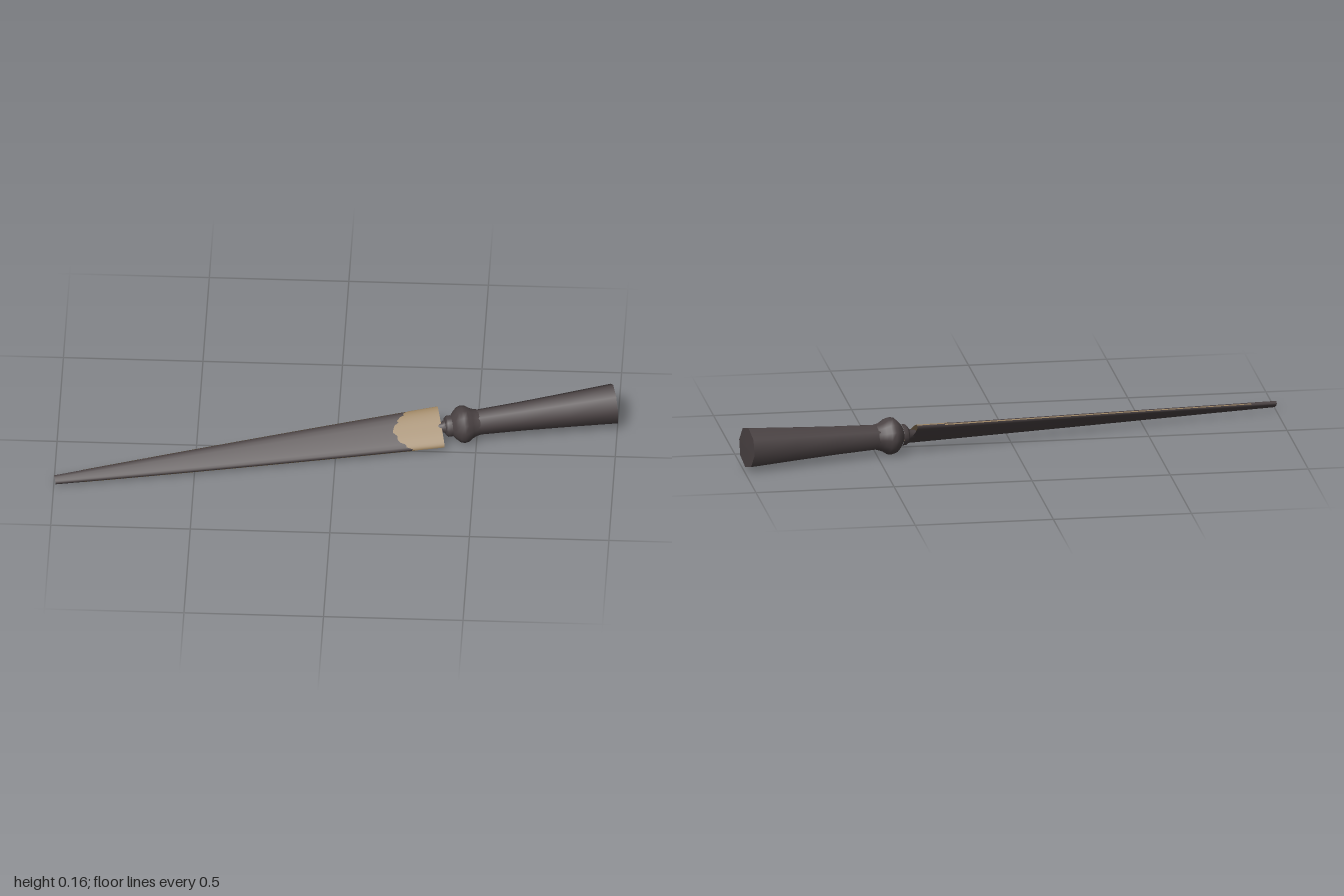
import * as THREE from 'three';

export function createModel() {
  const dark = new THREE.MeshStandardMaterial({ color: 0x4a4243 });
  dark.name = 'darkWood';
  const tan = new THREE.MeshStandardMaterial({ color: 0x9c8462, side: THREE.DoubleSide });
  tan.name = 'wornTan';

  const model = new THREE.Group();
  model.name = 'paperKnife';
  const add = (name, geometry, material) => {
    const mesh = new THREE.Mesh(geometry, material);
    mesh.name = name;
    model.add(mesh);
  };

  // Local frame: x runs from blade tip to handle end, y across the blade, z out of its face
  const END = 1.408;
  const bladePoint = (s, angle, lift = 0) => {
    const t = s / END;
    const halfWidth = 0.0165 + 0.0605 * t + 0.012 * t * (1 - t) + lift;
    const halfThick = 0.009 + 0.005 * t + lift;
    const soft = (v) => Math.sign(v) * Math.pow(Math.abs(v), 0.75);
    return [s, halfWidth * soft(Math.cos(angle)), halfThick * soft(Math.sin(angle))];
  };

  // Grid surface from a point function, u along and v around
  const surface = (nu, nv, point) => {
    const pos = [], index = [];
    for (let i = 0; i <= nu; i++)
      for (let j = 0; j <= nv; j++) pos.push(...point(i / nu, j / nv));
    for (let i = 0; i < nu; i++)
      for (let j = 0; j < nv; j++) {
        const a = i * (nv + 1) + j, b = a + nv + 1;
        index.push(a, b, a + 1, b, b + 1, a + 1);
      }
    const g = new THREE.BufferGeometry();
    g.setAttribute('position', new THREE.Float32BufferAttribute(pos, 3));
    g.setIndex(index);
    g.computeVertexNormals();
    return g;
  };

  // Blade: tapering lens section with closed ends
  add('blade', surface(12, 20, (u, v) => bladePoint(u * END, -v * Math.PI * 2)), dark);
  for (const [name, s, dir] of [['bladeTip', 0, 1], ['bladeHeel', END, -1]]) {
    add(name, surface(1, 20, (u, v) => {
      const p = bladePoint(s, dir * v * Math.PI * 2);
      return [s, p[1] * u, p[2] * u];
    }), dark);
  }

  // Worn patch on the face, ragged and pointed toward the tip
  add('wornPatch', surface(3, 24, (u, v) => {
    const angle = Math.PI * (0.03 + 0.94 * v);
    const c = Math.cos(angle);
    const rag = 0.005 * Math.sin(v * 37) + 0.003 * Math.sin(v * 71);
    const start = 1.235 + 0.06 * Math.pow(Math.abs(c), 1.4) + rag;
    return bladePoint(start + (END - start) * u, angle, 0.0012);
  }), tan);

  // Thin worn lines along both edges
  for (const [name, mid] of [['backEdgeWear', 0], ['frontEdgeWear', Math.PI]]) {
    add(name, surface(12, 2, (u, v) =>
      bladePoint(0.1 + 1.2 * u, mid + (v - 0.5) * 0.16, 0.0006)), tan);
  }

  // Turned parts, given as [radius, distance along the axis]
  const turned = (name, profile, sides) => {
    const g = new THREE.LatheGeometry(profile.map(([r, s]) => new THREE.Vector2(r, s)), sides);
    add(name, g.rotateZ(-Math.PI / 2), dark);
  };
  turned('neck', [[0.014, 1.39], [0.019, 1.412], [0.026, 1.425]], 14);
  turned('collar', [[0, 1.422], [0.03, 1.422], [0.038, 1.43], [0.038, 1.446]], 14);
  turned('guardBulb', [[0.036, 1.446], [0.05, 1.457], [0.064, 1.472], [0.068, 1.486],
    [0.065, 1.502], [0.054, 1.519], [0.049, 1.532], [0.046, 1.545]], 14);
  turned('handle', [[0.047, 1.538], [0.054, 1.7], [0.064, 1.87], [0.075, 2.04]], 8);
  turned('handleCap', [[0.075, 2.04], [0, 2.042]], 8);

  // Lay the piece down: tilted on its bulb, blade face up and forward
  const along = new THREE.Vector3(0.973, 0.029, -0.229).normalize();
  const across = new THREE.Vector3(-0.2, 0.59, -0.78);
  across.addScaledVector(along, -across.dot(along)).normalize();
  const out = new THREE.Vector3().crossVectors(along, across);
  model.quaternion.setFromRotationMatrix(new THREE.Matrix4().makeBasis(along, across, out));
  model.position.set(-0.997, 0.026, 0.261);

  const root = new THREE.Group();
  root.name = 'model';
  root.add(model);
  return root;
}
